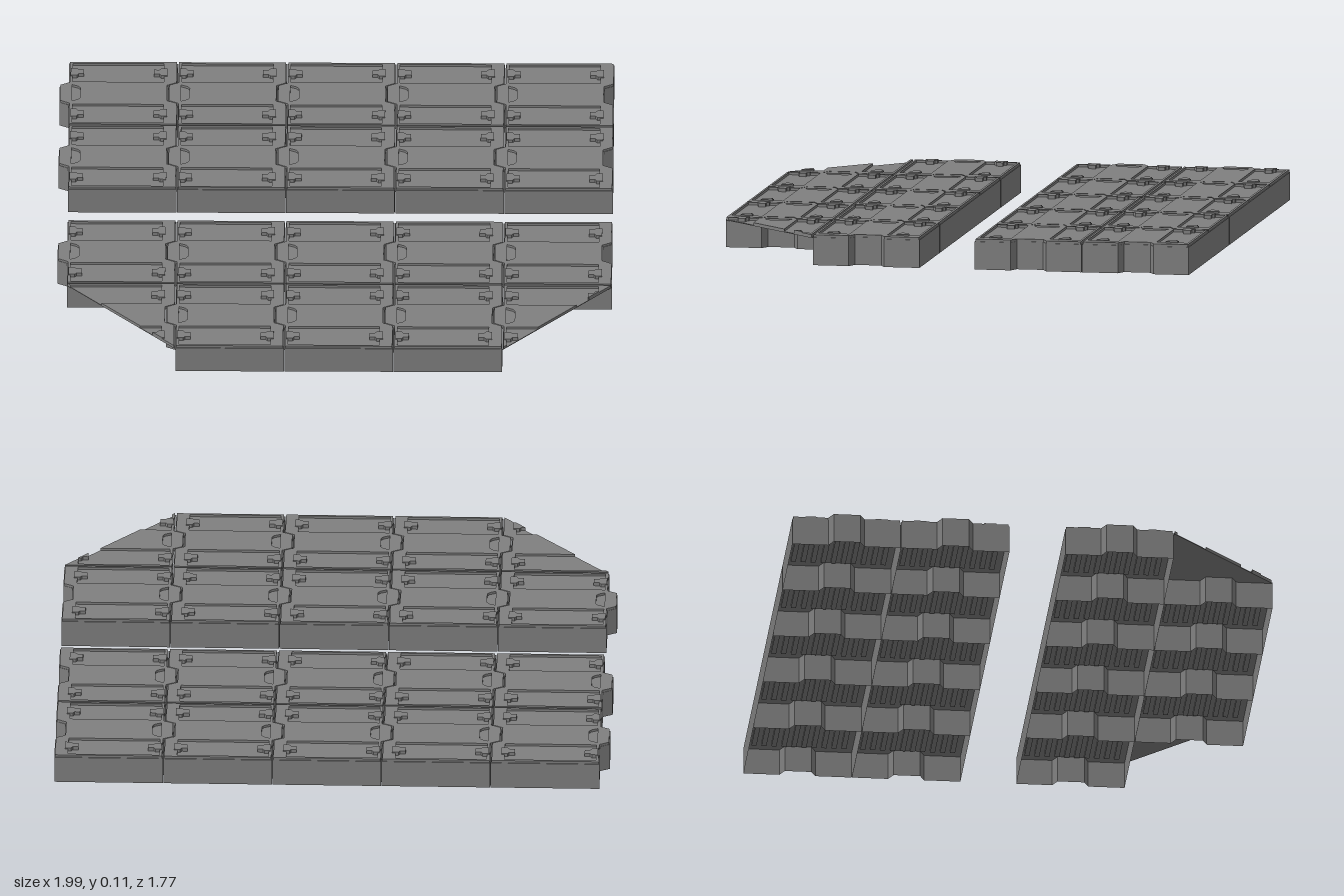
import * as THREE from 'three';
import { mergeGeometries } from 'three/addons/utils/BufferGeometryUtils.js';

const W = 0.392;               // tile side
const X0 = -0.963;             // left edge of the first column
const CEILING = 0.098, DECK = 0.101, TOP = 0.11, CLIP_TOP = 0.114;
const G = 0.004;               // groove at the rim of each tile
const GAP = 0.001;             // hairline gap between tiles

const material = new THREE.MeshStandardMaterial({ color: 0x808080, flatShading: true, side: THREE.DoubleSide });

const rect = (u0, v0, u1, v1) => [[u0, v0], [u1, v0], [u1, v1], [u0, v1]];

// Interlocking edge, running along z, with a tab towards -x
const tabEdge = (u) => [[u, 0.13], [u - 0.034, 0.147], [u - 0.034, 0.243], [u, 0.26]];

// Plan of a tile, drawn in by a small margin
const E = W - GAP;
const outline = [[GAP, GAP], [E, GAP], ...tabEdge(E), [E, E], [GAP, E], ...tabEdge(GAP).reverse()];

// Keeps the part of a polygon where inside(u, v) >= 0
function cut(poly, inside) {
  if (!inside) return poly;
  const out = [];
  poly.forEach((a, i) => {
    const b = poly[(i + 1) % poly.length];
    const da = inside(...a), db = inside(...b);
    if (da >= 0) out.push(a);
    if ((da > 0 && db < 0) || (da < 0 && db > 0)) {
      const t = da / (da - db);
      out.push([a[0] + (b[0] - a[0]) * t, a[1] + (b[1] - a[1]) * t]);
    }
  });
  return out;
}

// Flat slab with a plan shape in x and z
function slab(poly, y0, y1, hole) {
  const toVectors = (p) => p.map(([u, v]) => new THREE.Vector2(u, v));
  const shape = new THREE.Shape(toVectors(poly));
  if (hole) shape.holes.push(new THREE.Path(toVectors(hole)));
  const g = new THREE.ExtrudeGeometry(shape, { depth: y1 - y0, bevelEnabled: false });
  return g.rotateX(Math.PI / 2).translate(0, y1, 0);
}

// Thin upright skirt around the outline
function skirt() {
  const pos = [];
  outline.forEach(([x, z], i) => {
    const [p, q] = outline[(i + 1) % outline.length];
    pos.push(x, 0, z, x, DECK, z, p, DECK, q, x, 0, z, p, DECK, q, p, 0, q);
  });
  const g = new THREE.BufferGeometry();
  g.setAttribute('position', new THREE.Float32BufferAttribute(pos, 3));
  g.computeVertexNormals();
  return g;
}

// Raised surface around the two sunken panels
function surfacePieces() {
  const pieces = [];
  const a = 0.014, b = 0.342;
  for (const [v0, p0, p1, v1] of [[G, 0.013, 0.127, 0.13], [0.26, 0.266, 0.38, W - G]]) {
    pieces.push(rect(G, v0, W - G, p0), rect(G, p1, W - G, v1));
    pieces.push(rect(G, p0, a, p1), rect(b, p0, W - G, p1));
  }
  return pieces;
}
const band = [...tabEdge(W - G), ...tabEdge(G).reverse()];
const socket = [[0.012, 0.145], [0.035, 0.155], [0.043, 0.165], [0.043, 0.225], [0.035, 0.235], [0.012, 0.245]];

// Stepped clip at a panel end; s = 1 points to +x
const clipShape = (u, v, s) => [
  [0, -0.022], [0.022, -0.022], [0.028, -0.013], [0.048, -0.013],
  [0.048, 0.013], [0.028, 0.013], [0.022, 0.022], [0, 0.022],
].map(([x, z]) => [u + s * x, v + z]);

function makeTile(inside) {
  const tile = new THREE.Group();
  const add = (name, geometries) => {
    const m = new THREE.Mesh(mergeGeometries(geometries), material);
    m.name = name;
    tile.add(m);
  };
  const slabs = (polys, y1) => polys.map((p) => cut(p, inside)).filter((p) => p.length > 2)
    .map((p) => slab(p, DECK, y1));

  add('deckPlate', [slab(cut(outline, inside), CEILING, DECK)]);

  const hasSocket = !inside || socket.every((p) => inside(...p) >= 0);
  add('raisedSurface', [
    ...slabs(surfacePieces(), TOP),
    slab(cut(band, inside), DECK, TOP, hasSocket ? socket : null),
  ]);

  const clips = [];
  for (const v of [0.07, 0.323]) clips.push(clipShape(0.007, v, 1), clipShape(0.354, v, -1));
  add('panelClips', slabs(clips, CLIP_TOP));

  // Whole tiles also have side walls and ribs under the deck
  if (!inside) {
    add('sideWalls', [skirt()]);
    const ribs = [];
    for (let i = 0; i < 10; i++) {
      ribs.push(new THREE.BoxGeometry(0.32, 0.01, 0.018).translate(0.18, 0.093, 0.034 + i * 0.036));
    }
    add('undersideRibs', ribs);
  }
  return tile;
}

export function createModel() {
  const model = new THREE.Group();
  model.name = 'floorPlatform';
  const rows = [-0.884, -0.492, 0.1, 0.492];
  rows.forEach((z, r) => {
    const row = new THREE.Group();
    row.name = ['backOuterRow', 'backInnerRow', 'frontInnerRow', 'frontOuterRow'][r];
    for (let c = 0; c < 5; c++) {
      // The front corners are cut diagonally
      let inside = null;
      if (r === 3 && c === 0) inside = (u, v) => u - v;
      if (r === 3 && c === 4) inside = (u, v) => W - u - v;
      const tile = makeTile(inside);
      tile.name = inside ? 'cornerTile' : 'floorTile';
      tile.position.set(X0 + c * W, 0, z);
      row.add(tile);
    }
    model.add(row);
  });
  return model;
}
